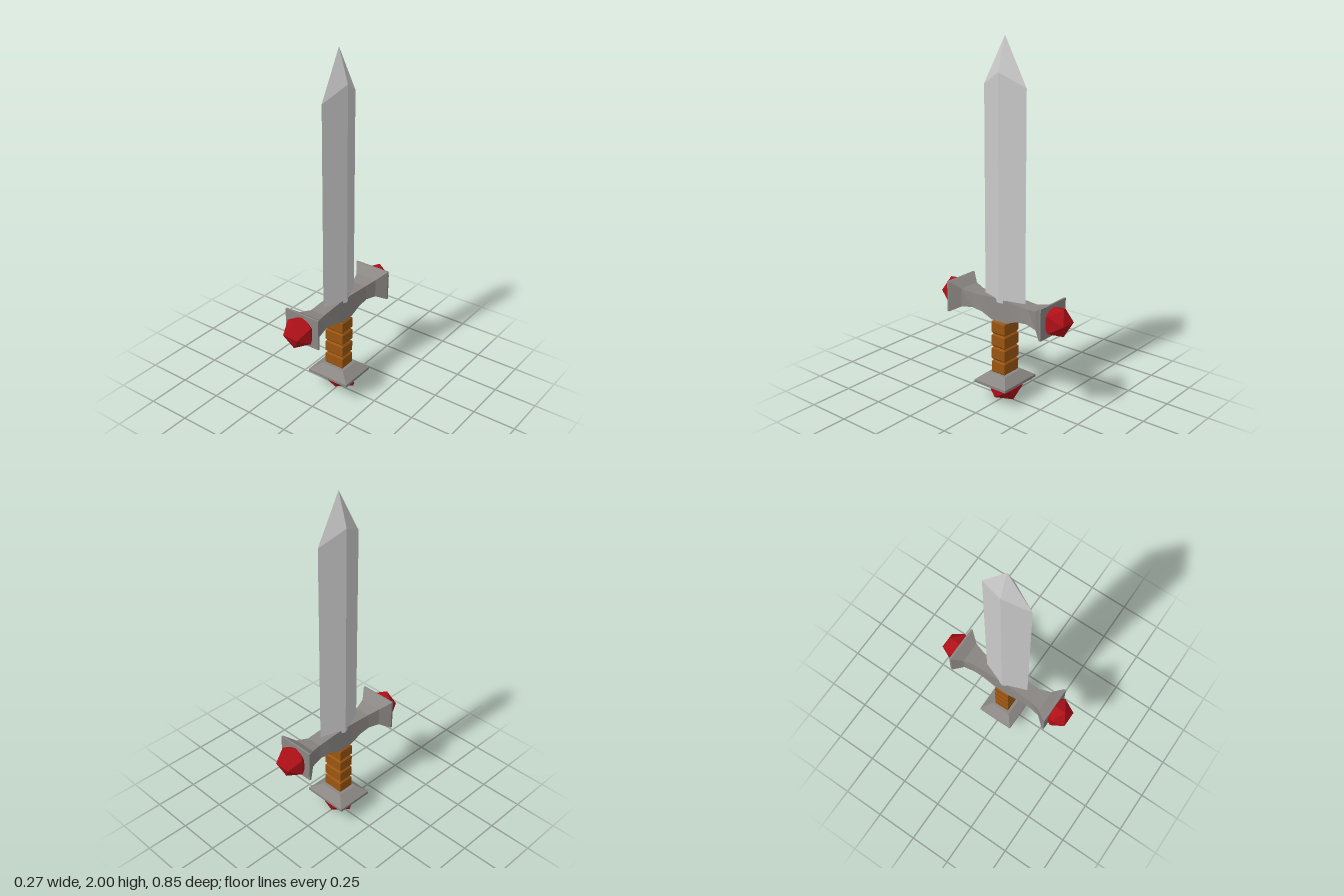
import * as THREE from 'three';

const material = (color) => new THREE.MeshStandardMaterial({ color, flatShading: true });
const steel = material(0xcccccc);
const iron = material(0x8a8683);
const leather = material(0x9a5510);
const ruby = material(0xb01018);

// Skins a list of equal-length rings (counter-clockwise about the travel axis) and caps both ends
function loft(rings) {
  const pos = [];
  const tri = (a, b, c) => {
    const same = (p, q) => p.every((v, i) => v === q[i]);
    if (!same(a, b) && !same(b, c) && !same(c, a)) pos.push(...a, ...b, ...c);
  };
  const n = rings[0].length;
  for (let i = 0; i < rings.length - 1; i++) {
    const [r, s] = [rings[i], rings[i + 1]];
    for (let j = 0; j < n; j++) {
      const k = (j + 1) % n;
      tri(r[j], r[k], s[k]);
      tri(r[j], s[k], s[j]);
    }
  }
  const first = rings[0], last = rings[rings.length - 1];
  for (let j = 1; j < n - 1; j++) {
    tri(first[0], first[j + 1], first[j]);
    tri(last[0], last[j], last[j + 1]);
  }
  const geo = new THREE.BufferGeometry();
  geo.setAttribute('position', new THREE.Float32BufferAttribute(pos, 3));
  geo.computeVertexNormals();
  return geo;
}

// Horizontal rectangle at height y with half sizes w (x) and d (z)
const rectY = (y, w, d) => [[-w, y, d], [w, y, d], [w, y, -d], [-w, y, -d]];

// Upright trapezoid across the guard at depth z
const rectZ = (z, y0, y1, top, bottom = top) =>
  [[-bottom, y0, z], [bottom, y0, z], [top, y1, z], [-top, y1, z]];

export function createModel() {
  const group = new THREE.Group();
  const add = (name, geo, mat) => {
    const mesh = new THREE.Mesh(geo, mat);
    mesh.name = name;
    group.add(mesh);
    return mesh;
  };

  // Blade: diamond section, edges towards +z and -z, bevelled point
  const w = 0.055, d = 0.14;
  const diamond = (yEdge, yRidge) => [[0, yEdge, d], [w, yRidge, 0], [0, yEdge, -d], [-w, yRidge, 0]];
  const tip = Array.from({ length: 4 }, () => [0, 2, 0]);
  add('blade', loft([diamond(0.58, 0.58), diamond(1.745, 1.82), tip]), steel);

  // Crossguard: mirrored sections from the centre to the flared end plates
  const half = [
    [0.05, 0.472, 0.597, 0.045, 0.055],
    [0.12, 0.5, 0.593, 0.045, 0.055],
    [0.19, 0.508, 0.588, 0.045, 0.056],
    [0.26, 0.496, 0.602, 0.065],
    [0.316, 0.465, 0.643, 0.109],
    [0.327, 0.465, 0.643, 0.109],
  ];
  const mirrored = half.map(([z, ...rest]) => [-z, ...rest]).reverse();
  add('crossguard', loft([...mirrored, ...half].map((s) => rectZ(...s))), iron);

  // Gems on the guard ends
  for (const side of [1, -1]) {
    const gem = new THREE.IcosahedronGeometry(0.09).rotateX(Math.PI / 2);
    add(side > 0 ? 'frontGem' : 'backGem', gem, ruby).position.set(0, 0.55, side * 0.349);
  }

  // Grip: four chamfered blocks with narrow grooves between them
  const grip = [];
  for (let i = 0; i < 4; i++) {
    const y0 = 0.158 + i * 0.078, y1 = y0 + 0.078;
    grip.push(
      rectY(y0, 0.052, 0.038), rectY(y0 + 0.01, 0.06, 0.046),
      rectY(y1 - 0.01, 0.06, 0.046), rectY(y1, 0.052, 0.038));
  }
  add('grip', loft(grip), leather);

  // Pommel plate with sloping top
  add('pommelPlate', loft([
    rectY(0.105, 0.133, 0.111), rectY(0.12, 0.133, 0.111), rectY(0.162, 0.073, 0.061),
  ]), iron);

  // Pommel gem: widened, slightly skewed, its top sunk flat into the plate
  const gem = new THREE.IcosahedronGeometry(0.093).rotateX(Math.PI / 2);
  const p = gem.attributes.position;
  for (let i = 0; i < p.count; i++) {
    const x = p.getX(i), y = p.getY(i), z = p.getZ(i);
    p.setXYZ(i, x * 1.26, Math.min(0.085 + y + 0.12 * z, 0.118), z + 0.14 * y);
  }
  gem.computeVertexNormals();
  add('pommelGem', gem, ruby);

  return group;
}
